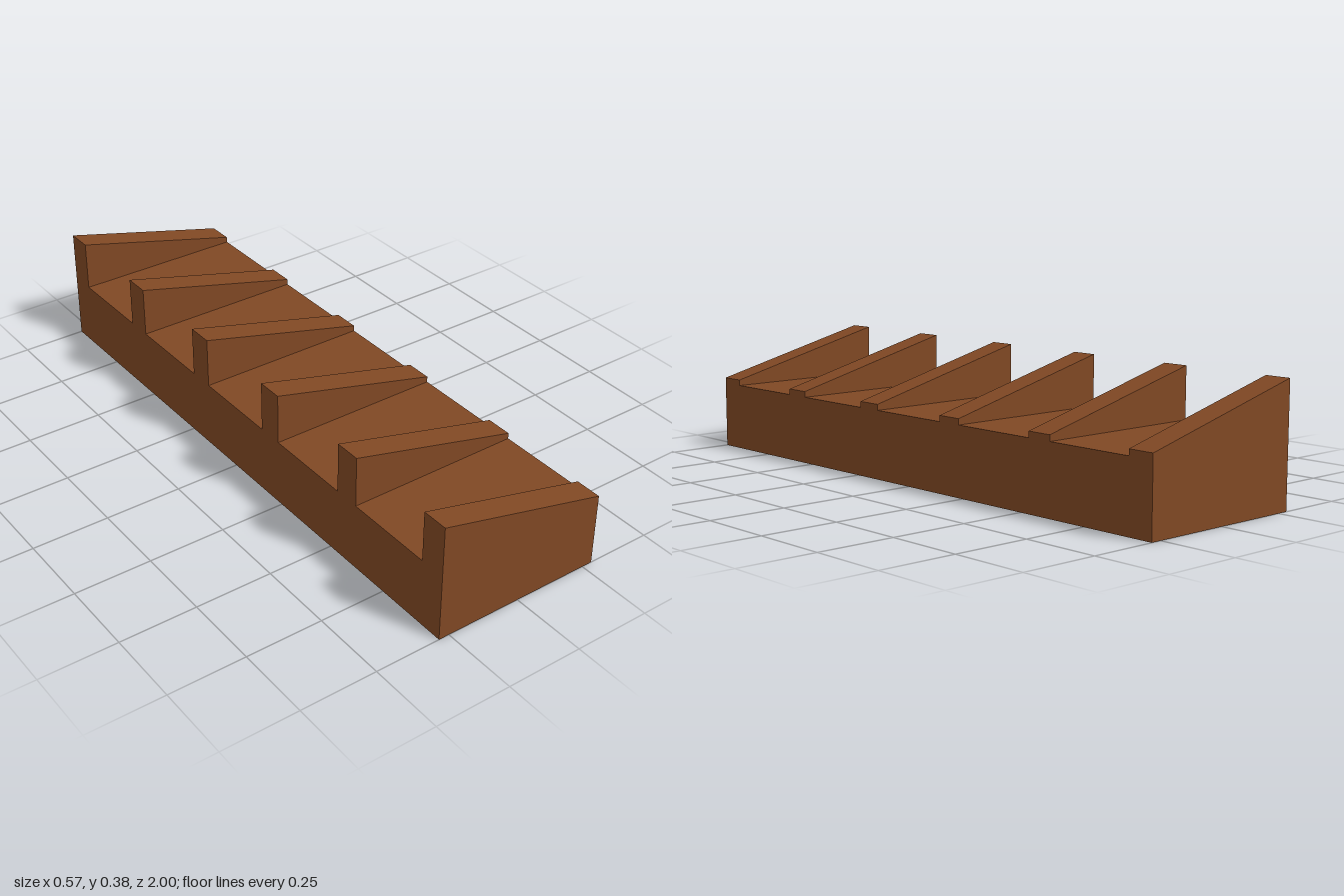
import * as THREE from 'three';

const HALF_WIDTH = 0.285, LENGTH = 2;
const FLOOR = 0.22, HIGH = 0.385, LOW = 0.239;
const DIVIDERS = 6, THICKNESS = 0.086;

export function createModel() {
  const group = new THREE.Group();
  group.name = 'slottedRack';
  const wood = new THREE.MeshStandardMaterial({ color: 0x804824 });
  wood.name = 'brown wood';

  // Solid base block whose top is the slot floor
  const base = new THREE.Mesh(new THREE.BoxGeometry(HALF_WIDTH * 2, FLOOR, LENGTH), wood);
  base.name = 'base';
  base.position.y = FLOOR / 2;
  group.add(base);

  // Sloped dividers, tall on the right (-x) and low on the left (+x)
  const profile = new THREE.Shape([
    new THREE.Vector2(-HALF_WIDTH, FLOOR),
    new THREE.Vector2(HALF_WIDTH, FLOOR),
    new THREE.Vector2(HALF_WIDTH, LOW),
    new THREE.Vector2(-HALF_WIDTH, HIGH),
  ]);
  const dividerGeometry = new THREE.ExtrudeGeometry(profile, { depth: THICKNESS, bevelEnabled: false });
  const pitch = (LENGTH - THICKNESS) / (DIVIDERS - 1);
  for (let i = 0; i < DIVIDERS; i++) {
    const divider = new THREE.Mesh(dividerGeometry, wood);
    divider.name = `divider${i + 1}`;
    divider.position.z = -LENGTH / 2 + i * pitch;
    group.add(divider);
  }
  return group;
}
